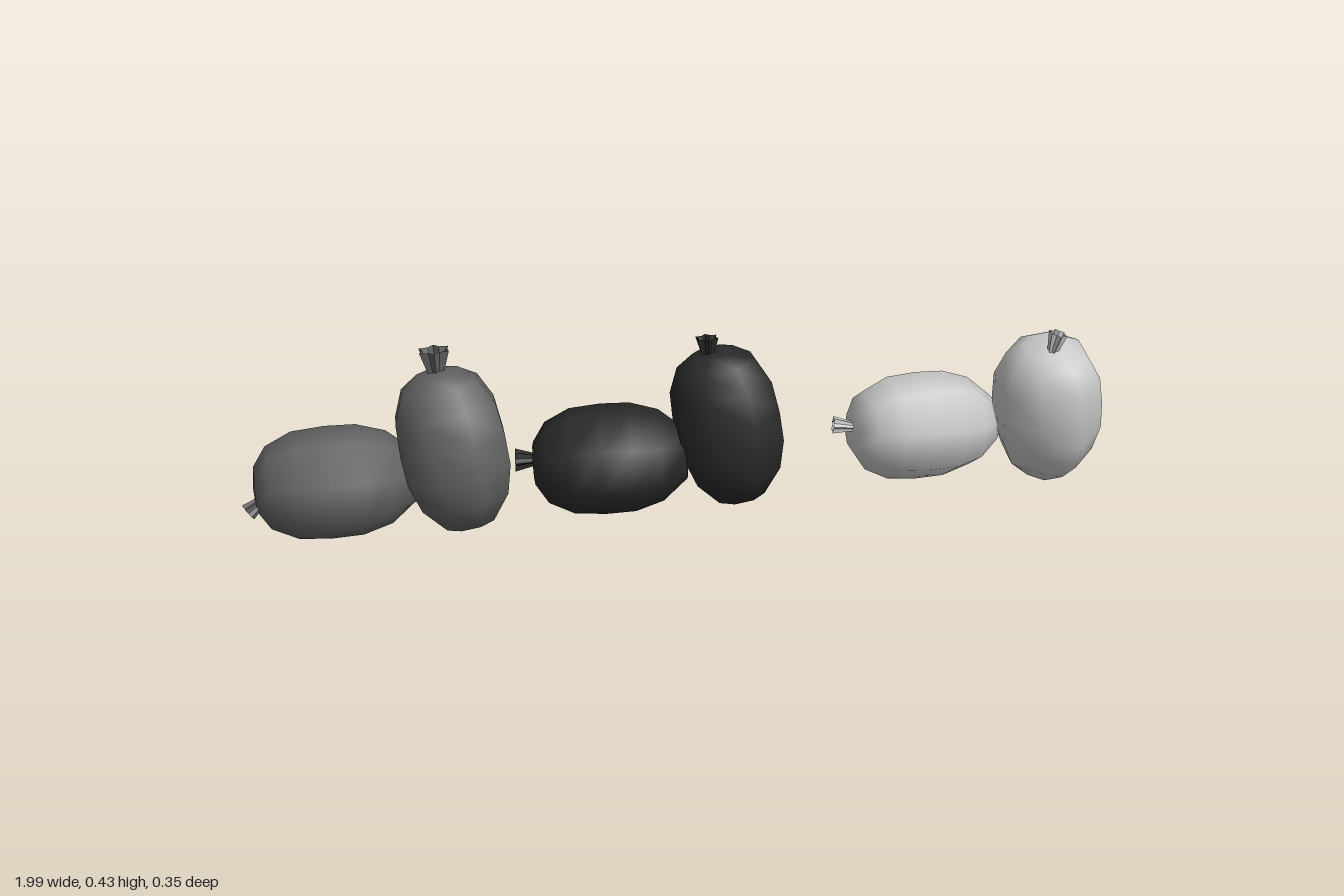
import * as THREE from 'three';

const vec = (a) => new THREE.Vector3(...a);
const UP = new THREE.Vector3(0, 1, 0);

// Sack body: plump eight-sided barrel, half-length 1 along y, radii in units
const PROFILE = [
  [0, -1], [0.058, -0.96], [0.106, -0.64], [0.126, -0.28],
  [0.128, 0.1], [0.122, 0.5], [0.094, 0.82], [0.05, 0.98], [0, 1],
];

// Place a y-aligned mesh so that it runs from one point to another
function align(mesh, from, to) {
  mesh.position.copy(from).add(to).multiplyScalar(0.5);
  mesh.quaternion.setFromUnitVectors(UP, to.clone().sub(from).normalize());
  return mesh;
}

function makeBody(bottom, top, material) {
  const half = bottom.distanceTo(top) / 2;
  const points = PROFILE.map(([r, y]) => new THREE.Vector2(r, y * half));
  return align(new THREE.Mesh(new THREE.LatheGeometry(points, 8, Math.PI / 8), material), bottom, top);
}

// Gathered neck: open flared tube with pleats
function makeNeck(base, tip, radius, material) {
  const sides = 12;
  let geo = new THREE.CylinderGeometry(radius, radius * 0.42, base.distanceTo(tip), sides, 1, true);
  const pos = geo.attributes.position;
  for (let i = 0; i < pos.count; i++) {
    const pleat = (i % (sides + 1)) % 2 ? 0.66 : 1;
    pos.setX(i, pos.getX(i) * pleat);
    pos.setZ(i, pos.getZ(i) * pleat);
  }
  geo = geo.toNonIndexed();
  geo.computeVertexNormals();
  return align(new THREE.Mesh(geo, material), base, tip);
}

export function createModel() {
  const model = new THREE.Group();
  model.name = 'sacks';
  const paint = (name, color) =>
    new THREE.MeshStandardMaterial({ name, color, side: THREE.DoubleSide });
  const grey = paint('grey cloth', 0x626262);
  const black = paint('black cloth', 0x2a2a2a);
  const pale = paint('pale cloth', 0xc8c8c8);

  // Each pair has one lying sack and one upright sack leaning on it
  const sacks = [
    { name: 'greyLyingSack', mat: grey, bottom: [-0.61, 0.125, -0.01], top: [-0.98, 0.125, 0.015],
      base: [-0.95, 0.115, 0.038], tip: [-0.993, 0.085, 0.05], r: 0.021 },
    { name: 'greyUprightSack', mat: grey, bottom: [-0.5, 0.025, 0.07], top: [-0.56, 0.382, 0.005],
      base: [-0.56, 0.365, 0.005], tip: [-0.563, 0.43, 0], r: 0.038 },
    { name: 'blackLyingSack', mat: black, bottom: [0.01, 0.142, 0.005], top: [-0.348, 0.12, -0.04],
      base: [-0.33, 0.13, -0.038], tip: [-0.388, 0.13, -0.042], r: 0.027 },
    { name: 'blackUprightSack', mat: black, bottom: [0.13, 0.025, 0.02], top: [0.07, 0.382, -0.025],
      base: [0.056, 0.365, -0.016], tip: [0.054, 0.415, -0.02], r: 0.028 },
    { name: 'paleLyingSack', mat: pale, bottom: [0.76, 0.138, -0.09], top: [0.4, 0.155, -0.03],
      base: [0.415, 0.165, -0.03], tip: [0.357, 0.172, -0.036], r: 0.021 },
    { name: 'paleUprightSack', mat: pale, bottom: [0.885, 0.025, -0.035], top: [0.835, 0.38, 0.045],
      base: [0.838, 0.355, 0.07], tip: [0.85, 0.415, 0.075], r: 0.022 },
  ];

  for (const s of sacks) {
    const sack = new THREE.Group();
    sack.name = s.name;
    const body = makeBody(vec(s.bottom), vec(s.top), s.mat);
    body.name = 'sackBody';
    const neck = makeNeck(vec(s.base), vec(s.tip), s.r, s.mat);
    neck.name = 'sackNeck';
    sack.add(body, neck);
    model.add(sack);
  }
  return model;
}
